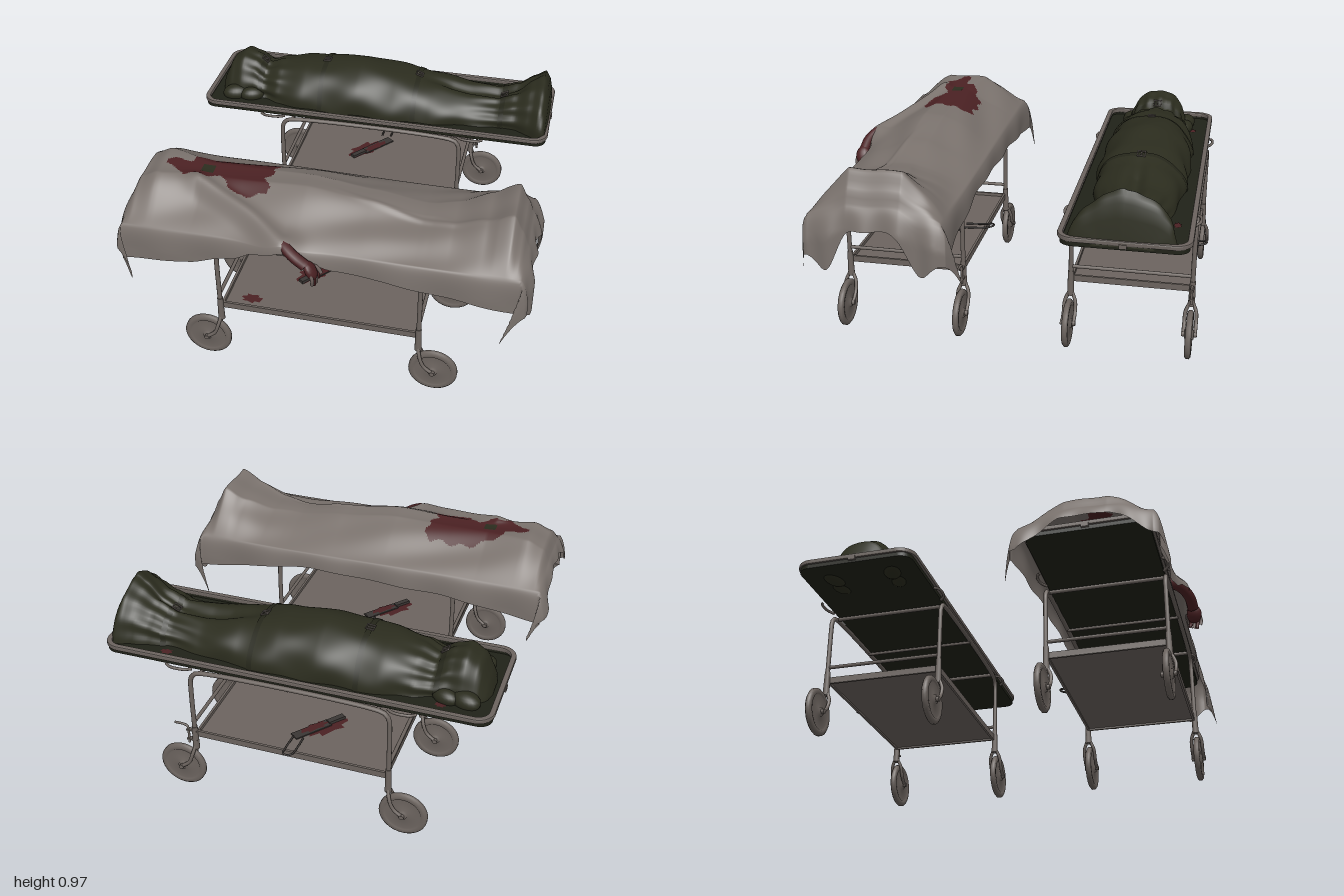
import * as THREE from 'three';

const mat = (name, color, side = THREE.FrontSide) => {
  const m = new THREE.MeshStandardMaterial({ color, side });
  m.name = name;
  return m;
};
const D = THREE.DoubleSide;
const metal = mat('dull metal', 0x6c645f), mattress = mat('dark tray lining', 0x202218, D);
const bagGreen = mat('olive bag', 0x2b2c1e, D), strapGreen = mat('dark strap', 0x25261a, D);
const linen = mat('grey linen', 0x7a726d, D), blood = mat('dried blood', 0x4b2123, D);
const skin = mat('pale skin', 0x695c58), dark = mat('dark steel', 0x3a3634);

const V = (x, y, z) => new THREE.Vector3(x, y, z);
const clamp = THREE.MathUtils.clamp;
const bump = (x, c, w) => Math.exp(-(((x - c) / w) ** 2));

function add(parent, name, geo, material, x = 0, y = 0, z = 0) {
  const m = new THREE.Mesh(geo, material);
  m.name = name;
  m.position.set(x, y, z);
  parent.add(m);
  return m;
}
const box = (p, name, w, h, d, m, x, y, z) => add(p, name, new THREE.BoxGeometry(w, h, d), m, x, y, z);
const tube = (p, name, pts, r, m, seg = 16) =>
  add(p, name, new THREE.TubeGeometry(new THREE.CatmullRomCurve3(pts, false, 'centripetal'), seg, r, 10), m);

// Smooth lookup in a table of rows [x, a, b, ...]
function lookup(rows, x, k = 1) {
  if (x <= rows[0][0]) return rows[0][k];
  for (let i = 1; i < rows.length; i++) {
    const a = rows[i - 1], b = rows[i];
    if (x <= b[0]) {
      const t = (x - a[0]) / (b[0] - a[0]);
      return a[k] + (b[k] - a[k]) * (0.4 * t + 0.6 * t * t * (3 - 2 * t));
    }
  }
  return rows[rows.length - 1][k];
}

// Surface from fn(u, v); pick(x, z) chooses the material slot of a cell
function surface(nu, nv, fn, pick) {
  const pos = [], slots = [[], []];
  for (let i = 0; i <= nu; i++) for (let j = 0; j <= nv; j++) pos.push(...fn(i / nu, j / nv).toArray());
  for (let i = 0; i < nu; i++) for (let j = 0; j < nv; j++) {
    const a = i * (nv + 1) + j, b = a + nv + 1;
    slots[pick && pick(pos[a * 3], pos[a * 3 + 2]) ? 1 : 0].push(a, a + 1, b, b, a + 1, b + 1);
  }
  const g = new THREE.BufferGeometry();
  g.setAttribute('position', new THREE.Float32BufferAttribute(pos, 3));
  g.setIndex([...slots[0], ...slots[1]]);
  if (pick) {
    g.addGroup(0, slots[0].length, 0);
    g.addGroup(slots[0].length, slots[1].length, 1);
  }
  g.computeVertexNormals();
  return g;
}

function roundRect(C, w, d, r) {
  const s = new C();
  s.moveTo(w - r, -d).absarc(w - r, -d + r, r, -Math.PI / 2, 0);
  s.absarc(w - r, d - r, r, 0, Math.PI / 2).absarc(-w + r, d - r, r, Math.PI / 2, Math.PI);
  s.absarc(-w + r, -d + r, r, Math.PI, Math.PI * 1.5);
  return s;
}
function slab(w, d, r, depth, wall = 0, bevel = 0) {
  const s = roundRect(THREE.Shape, w, d, r);
  if (wall) s.holes.push(roundRect(THREE.Path, w - wall, d - wall, r - wall));
  return new THREE.ExtrudeGeometry(s, { depth, curveSegments: 8, bevelEnabled: bevel > 0, bevelSize: bevel,
    bevelThickness: bevel, bevelSegments: 2 }).rotateX(-Math.PI / 2);
}

// Flat irregular stain
function stain(p, x, y, z, rx, rz, turn = 0) {
  const pts = Array.from({ length: 18 }, (_, i) => {
    const a = i / 18 * Math.PI * 2, k = 0.8 + 0.2 * Math.sin(i * 2.4);
    return new THREE.Vector2(Math.cos(a) * rx * k, Math.sin(a) * rz * k);
  });
  add(p, 'bloodStain', new THREE.ShapeGeometry(new THREE.Shape(pts)).rotateX(-Math.PI / 2).rotateY(turn), blood, x, y, z);
}

function caster(sx) {
  const g = new THREE.Group();
  g.name = 'caster';
  const profile = [[0, -0.022], [0.022, -0.022], [0.025, -0.011], [0.085, -0.008], [0.09, -0.014], [0.108, -0.015],
    [0.118, -0.007], [0.118, 0.007], [0.108, 0.015], [0.09, 0.014], [0.085, 0.008], [0.025, 0.011], [0.022, 0.022], [0, 0.022]];
  const wheel = new THREE.LatheGeometry(profile.map(q => new THREE.Vector2(...q)), 32).rotateX(Math.PI / 2);
  add(g, 'wheel', wheel, metal, sx * 0.563, 0.118, 0);
  for (const s of [-1, 1])
    tube(g, 'fork', [V(sx * 0.563, 0.118, s * 0.028), V(sx * 0.52, 0.155, s * 0.028), V(sx * 0.5, 0.205, s * 0.026),
      V(sx * 0.488, 0.25, s * 0.008)], 0.009, metal);
  add(g, 'axle', new THREE.CylinderGeometry(0.012, 0.012, 0.075, 10).rotateX(Math.PI / 2), metal, sx * 0.563, 0.118, 0);
  add(g, 'collar', new THREE.CylinderGeometry(0.014, 0.017, 0.13, 12), metal, sx * 0.487, 0.3, 0);
  return g;
}

function gurney(name, z0) {
  const g = new THREE.Group();
  g.name = name;
  g.position.z = z0;
  for (const s of [-1, 1]) {
    const z = s * 0.294;
    for (const sx of [-1, 1]) {
      const c = caster(sx);
      c.position.z = z;
      g.add(c);
      // Side grips under the tray
      tube(g, 'sideGrip', [V(sx * 0.54 - 0.065, 0.703, s * 0.29), V(sx * 0.54 - 0.035, 0.708, s * 0.313),
        V(sx * 0.54 + 0.035, 0.708, s * 0.313), V(sx * 0.54 + 0.065, 0.703, s * 0.29)], 0.007, metal);
    }
    // Legs and the rail joining them
    const P = [V(-0.487, 0.25, z), V(-0.487, 0.6, z), V(-0.484, 0.645, z), V(-0.465, 0.677, z), V(-0.42, 0.69, z)];
    tube(g, 'legFrame', [...P, ...P.map(p => V(-p.x, p.y, z)).reverse()], 0.0115, metal, 70);
    box(g, 'shelfLip', 0.96, 0.032, 0.012, metal, 0, 0.322, s * 0.288);
    box(g, 'shelfLip', 0.012, 0.032, 0.57, metal, s * 0.475, 0.322, 0);
    for (const [x, y, r] of [[0.487, 0.39, 0.009], [0.43, 0.69, 0.01]])
      add(g, 'crossBar', new THREE.CylinderGeometry(r, r, 0.588, 10).rotateX(Math.PI / 2), metal, s * x, y, 0);
    box(g, 'endCatch', 0.012, 0.02, 0.035, metal, s * 0.938, 0.725, 0);
  }
  box(g, 'shelf', 0.95, 0.006, 0.57, metal, 0, 0.318, 0);
  add(g, 'middleBar', new THREE.CylinderGeometry(0.008, 0.008, 0.588, 10).rotateX(Math.PI / 2), metal, 0, 0.692, 0);
  // Foot pedal loop and brake lever
  tube(g, 'pedalLoop', [V(-0.025, 0.336, -0.18), V(-0.025, 0.343, -0.29), V(-0.02, 0.35, -0.325), V(0, 0.351, -0.338),
    V(0.02, 0.35, -0.325), V(0.025, 0.343, -0.29), V(0.025, 0.336, -0.18)], 0.005, dark, 30);
  tube(g, 'brakeLever', [V(0.522, 0.26, -0.294), V(0.522, 0.33, -0.294), V(0.526, 0.357, -0.294), V(0.545, 0.365, -0.294),
    V(0.592, 0.365, -0.294)], 0.006, metal, 24);
  for (const y of [0.285, 0.34]) box(g, 'leverBracket', 0.055, 0.008, 0.02, metal, 0.502, y, -0.294);
  // Tray
  add(g, 'trayFloor', slab(0.93, 0.285, 0.06, 0.008), mattress, 0, 0.705, 0);
  add(g, 'trayWall', slab(0.932, 0.287, 0.06, 0.03, 0.008), mattress, 0, 0.705, 0);
  add(g, 'trayRim', slab(0.934, 0.294, 0.075, 0.012, 0.014, 0.006), metal, 0, 0.731, 0);
  // Bloodied saw on the shelf
  const saw = new THREE.Group();
  saw.name = 'saw';
  saw.position.set(-0.06, 0.326, -0.06);
  saw.rotation.y = 0.9;
  box(saw, 'sawBlade', 0.2, 0.006, 0.05, dark, 0.04, 0, 0);
  box(saw, 'sawHandle', 0.09, 0.016, 0.028, dark, -0.1, 0.003, 0);
  stain(saw, 0.02, 0.004, 0.005, 0.09, 0.028);
  g.add(saw);
  stain(g, -0.1, 0.3225, -0.04, 0.13, 0.06, 0.9);
  return g;
}

// Body bag sections: x, half width, height
const BAG = [[-0.892, 0.05, 0.005], [-0.875, 0.11, 0.08], [-0.83, 0.145, 0.165], [-0.765, 0.16, 0.205], [-0.7, 0.15, 0.185],
  [-0.63, 0.155, 0.135], [-0.55, 0.19, 0.165], [-0.4, 0.215, 0.192], [-0.1, 0.225, 0.217], [0.1, 0.225, 0.195], [0.3, 0.215, 0.16],
  [0.5, 0.185, 0.13], [0.65, 0.165, 0.13], [0.75, 0.18, 0.175], [0.83, 0.21, 0.23], [0.885, 0.235, 0.258], [0.912, 0.24, 0.2],
  [0.932, 0.22, 0.07], [0.934, 0.12, 0.005]];
function bagPoint(x, a, lift = 0) {
  const c = Math.cos(a), s = Math.max(0, Math.sin(a));
  const gather = bump(x, -0.63, 0.1) + bump(x, 0.7, 0.14);
  const fold = 1 + 0.012 * Math.sin(14 * x + 6 * a) + 0.04 * gather * Math.sin(15 * a + 6 * x) + 0.03 * Math.sin(23 * x - 3 * a) * c * c;
  const foot = clamp((x - 0.45) / 0.3, 0, 1);
  const z = Math.sign(c) * Math.abs(c) ** (0.95 + 0.35 * foot) * lookup(BAG, x, 1) * fold;
  const legs = clamp((x - 0.2) / 0.2, 0, 1) * clamp((0.86 - x) / 0.12, 0, 1);
  const h = lookup(BAG, x, 2) * s ** (1 - 0.12 * foot) * fold - 0.04 * legs * s * bump(z, 0, 0.04);
  return V(x, 0.714 + h + lift * s, z + lift * c);
}
function bodyBag() {
  const g = new THREE.Group();
  g.name = 'bodyBag';
  add(g, 'bag', surface(150, 64, (u, v) => bagPoint(-0.892 + 1.826 * u, Math.PI * (1 - v))), bagGreen);
  // Loose cloth bunched beside the head
  for (const s of [-1, 1]) for (const [x, z, r] of [[-0.79, 0.15, 0.05], [-0.7, 0.15, 0.045]]) {
    const bunch = add(g, 'bunchedCloth', new THREE.SphereGeometry(1, 20, 12), bagGreen, x, 0.73, s * z);
    bunch.scale.set(r * 1.5, r * 0.9, r);
    bunch.rotation.y = s * 0.35;
  }
  for (const x of [-0.655, -0.3, 0.215, 0.68]) {
    add(g, 'strap', surface(2, 40, (u, v) => bagPoint(x + (u - 0.5) * 0.026, Math.PI * (1 - v), 0.004)), strapGreen);
    const y = bagPoint(x, Math.PI / 2).y + 0.008;
    const b = add(g, 'buckle', new THREE.TorusGeometry(0.026, 0.004, 6, 4).rotateZ(Math.PI / 4).rotateX(-Math.PI / 2), metal, x, y, 0);
    b.rotation.z = Math.atan2(bagPoint(x + 0.02, 1.57).y - bagPoint(x - 0.02, 1.57).y, 0.04);
    box(g, 'bucklePin', 0.03, 0.005, 0.006, metal, x, y, 0);
  }
  stain(g, 0.64, 0.716, -0.215, 0.035, 0.022);
  stain(g, -0.69, 0.716, -0.2, 0.03, 0.022);
  return g;
}

// Sheet: ridge height above the tray, then hem drops along front and back
const RIDGE = [[-0.95, 0.04], [-0.905, 0.13], [-0.82, 0.168], [-0.6, 0.15], [-0.4, 0.152], [-0.1, 0.162], [0.2, 0.125],
  [0.45, 0.088], [0.6, 0.102], [0.75, 0.155], [0.865, 0.212], [0.91, 0.13], [0.95, 0.03]];
const FRONT = [[-0.95, 0.19], [-0.6, 0.16], [-0.4, 0.1], [-0.28, 0.04], [-0.06, 0.035], [0.08, 0.08], [0.3, 0.1],
  [0.6, 0.14], [0.95, 0.18]];
const BACK = [[-0.95, 0.17], [-0.4, 0.11], [0.3, 0.08], [0.95, 0.17]];
const STAIN = [[-0.82, 0.51], [-0.7, 0.49], [-0.65, 0.43], [-0.5, 0.38], [-0.3, 0.38], [-0.28, 0.45], [-0.31, 0.55],
  [-0.28, 0.64], [-0.42, 0.66], [-0.52, 0.58], [-0.7, 0.61], [-0.8, 0.54]];
function inStain(x, z) {
  let hit = false;
  STAIN.forEach(([xa, za], i) => {
    const [xb, zb] = STAIN[(i + 1) % STAIN.length];
    if (za > z !== zb > z && x < (xb - xa) * (z - za) / (zb - za) + xa) hit = !hit;
  });
  return hit;
}
function sheetPoint(u, v) {
  const X = 0.935, Z = 0.314, p = (u * 2 - 1) * 1.1, q = (v * 2 - 1) * 1.3;
  const x = clamp(p, -1, 1) * X, z = clamp(q, -1, 1) * Z, sx = Math.sign(p), sz = Math.sign(q);
  // Hem drops: the foot end hangs in two long tails
  const endDrop = sx > 0 ? 0.11 + 0.17 * bump(Math.abs(z), 0.22, 0.07) + 0.05 * bump(Math.abs(z), Z, 0.06)
    : 0.06 + 0.08 * clamp((Math.abs(z) - 0.12) / 0.2, 0, 1);
  const ds = Math.max(0, Math.abs(p) - 1) / 0.1 * endDrop;
  const dt = Math.max(0, Math.abs(q) - 1) / 0.3 * lookup(sz > 0 ? FRONT : BACK, x);
  // Resting height with the arm under the cloth
  const flat = 0.05 + 0.075 * clamp((x - 0.5) / 0.3, 0, 1) + 0.05 * clamp((-0.6 - x) / 0.2, 0, 1);
  const fall = clamp((Math.abs(z) - flat) / (Z - flat), 0, 1);
  let y = 0.757 + lookup(RIDGE, x) * (1 - fall ** 1.12);
  const armT = clamp((x + 0.62) / 0.47, 0, 1), armZ = 0.1 + 0.2 * armT;
  const arm = bump(z, armZ, 0.045) * bump(Math.max(0, Math.abs(x + 0.38) - 0.22), 0, 0.08);
  y += 0.045 * arm + 0.006 * fall * (1 - fall) * 4 * Math.sin(9 * x + 22 * z) + 0.003 * Math.sin(30 * z + 4 * x);
  y += 0.008 * bump(z, 0.02 + 0.1 * Math.sin(1.5 * x), 0.015) * clamp(x * 3, 0, 1) * clamp((0.8 - x) * 5, 0, 1);
  // Hanging sides, with the corners folded back into points
  const drop = Math.hypot(ds, dt), corner = Math.min(ds, dt);
  const flare = 0.02 * (1 - Math.exp(-drop * 30));
  const wave = Math.min(1, drop * 8) * 0.01;
  return V(x + sx * (ds > 0 ? flare + Math.min(ds, 0.12) * 0.2 + wave * Math.sin(38 * z) - corner * 0.6 : 0),
    y - drop * (1 + 1.5 * corner),
    z + sz * (dt > 0 ? flare + wave * 0.6 * Math.sin(17 * x + sz) + corner * 0.3 : 0)
      + (sz > 0 ? 0.05 * fall * fall * bump(x, -0.17, 0.14) : 0));
}

// Arm hanging out over the tray edge
function hangingArm() {
  const g = new THREE.Group();
  g.name = 'hangingArm';
  tube(g, 'forearm', [V(-0.24, 0.775, 0.22), V(-0.16, 0.79, 0.32), V(-0.09, 0.757, 0.365), V(-0.03, 0.718, 0.375)], 0.028, blood);
  const palm = add(g, 'palm', new THREE.SphereGeometry(1, 16, 12), blood, -0.006, 0.697, 0.376);
  palm.scale.set(0.025, 0.048, 0.038);
  palm.rotation.z = 0.5;
  for (let i = 0; i < 4; i++) {
    const z = 0.35 + i * 0.018, l = [0.02, 0.006, 0.004, 0.016][i];
    tube(g, 'finger', [V(0.002, 0.69, z), V(0.022 - i * 0.004, 0.662, z + 0.004), V(0.022 - i * 0.005, 0.618 + l, z - 0.002)],
      0.0085, i % 2 ? skin : blood, 8);
  }
  tube(g, 'thumb', [V(-0.012, 0.71, 0.35), V(0.018, 0.692, 0.342), V(0.035, 0.662, 0.344)], 0.009, skin, 8);
  return g;
}

export function createModel() {
  const root = new THREE.Group();
  root.name = 'mortuaryGurneys';
  const back = gurney('backGurney', -0.597), front = gurney('frontGurney', 0.53);
  back.add(bodyBag());
  const cloth = surface(240, 130, sheetPoint, (x, z) => inStain(x + 0.012 * Math.sin(z * 70), z + 0.53 + 0.01 * Math.sin(x * 55)));
  add(front, 'sheet', cloth, [linen, blood]);
  front.add(hangingArm());
  // Torn spot in the sheet
  const tear = surface(8, 8, (u, v) => sheetPoint(0.193 + u * 0.03, 0.47 + v * 0.07).add(V(0, 0.003, 0)));
  add(front, 'tornSpot', tear, bagGreen);
  stain(front, -0.35, 0.3225, 0.22, 0.06, 0.035);
  root.add(back, front);
  return root;
}
